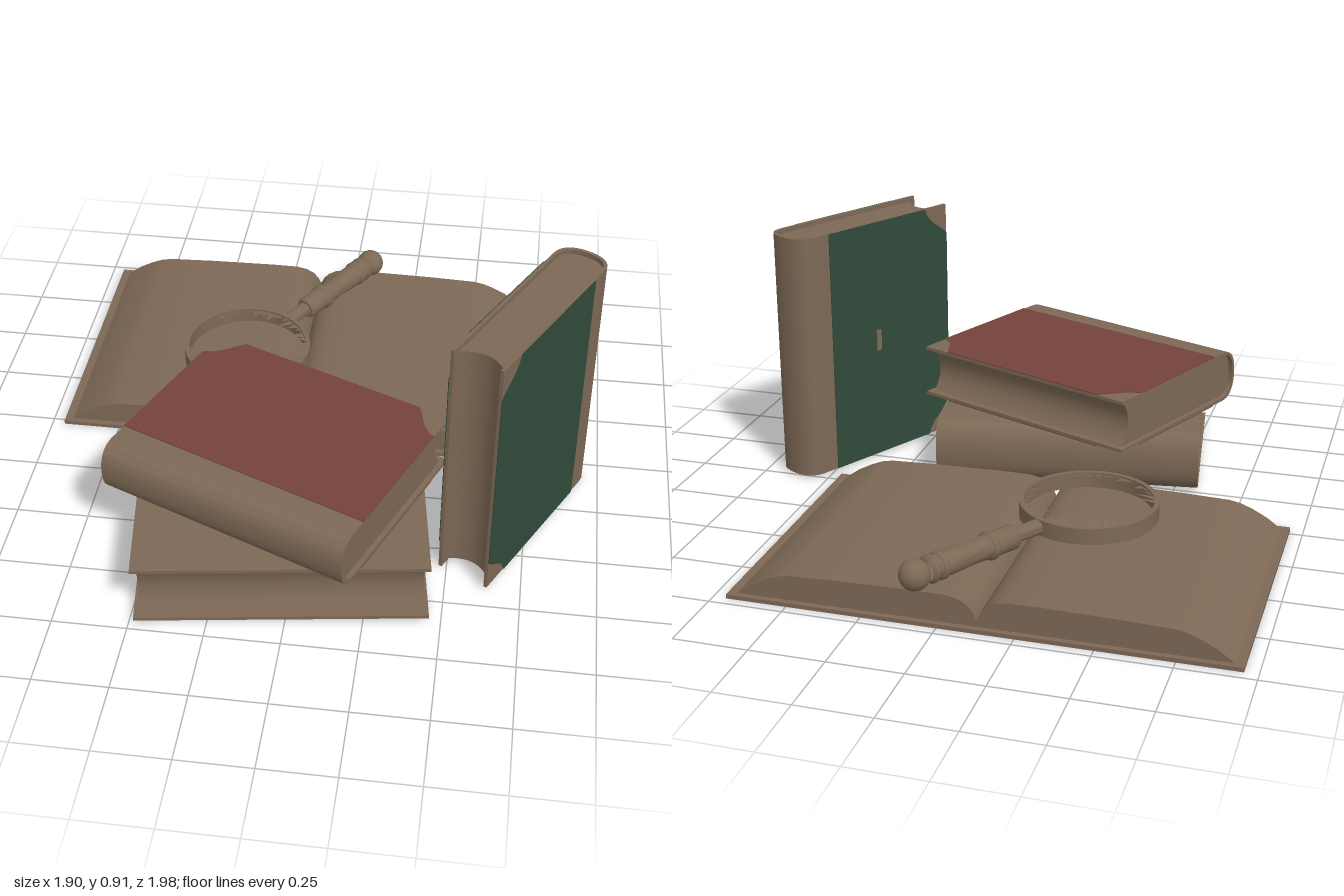
import * as THREE from 'three';
import { toCreasedNormals } from 'three/addons/utils/BufferGeometryUtils.js';

const brown = new THREE.MeshStandardMaterial({ color: 0x7d6855, side: THREE.DoubleSide });
brown.name = 'brown leather and paper';
const green = new THREE.MeshStandardMaterial({ color: 0x2f4b3a });
green.name = 'green cloth';
const red = new THREE.MeshStandardMaterial({ color: 0x75423c });
red.name = 'red cloth';

function add(parent, name, geometry, material, x = 0, y = 0, z = 0) {
  const mesh = new THREE.Mesh(geometry, material);
  mesh.name = name;
  mesh.position.set(x, y, z);
  parent.add(mesh);
  return mesh;
}

// Outline extruded along z and centred, with smooth curves and sharp edges
function slab(points, depth) {
  const shape = new THREE.Shape(points.map(([x, y]) => new THREE.Vector2(x, y)));
  const g = new THREE.ExtrudeGeometry(shape, { depth, bevelEnabled: false });
  g.translate(0, 0, -depth / 2);
  return toCreasedNormals(g, 0.6);
}

// Rounded spine curve from top to bottom
function spineCurve(x, halfT, d) {
  const pts = [];
  for (let i = 0; i <= 20; i++) {
    const a = Math.PI / 2 - (i / 20) * Math.PI;
    const s = Math.sin(a), c = Math.max(0, Math.cos(a));
    pts.push([x + d * c ** 0.85, halfT * Math.sign(s) * Math.abs(s) ** 0.85]);
  }
  return pts;
}

// Closed book: spine towards +x, thickness along y, length along z
function makeBook(name, W, T, L, cloth) {
  const book = new THREE.Group();
  book.name = name;
  const c = 0.012, d = 0.075, sx = W / 2 - d;
  const inner = spineCurve(sx, T / 2 - c, d - c);

  // Wrapped cover
  add(book, 'cover', slab([
    [-W / 2, T / 2], ...spineCurve(sx, T / 2, d), [-W / 2, -T / 2],
    [-W / 2, -T / 2 + c], ...[...inner].reverse(), [-W / 2, T / 2 - c],
  ], L), brown);

  // Page block with hollow fore edge
  const fore = [];
  for (let i = 0; i <= 10; i++) {
    const t = -1 + i / 5;
    fore.push([-W / 2 + 0.025 + 0.035 * (1 - t * t), t * (T / 2 - c)]);
  }
  add(book, 'pages', slab([...inner, ...fore], L - 0.034), brown);

  // Cloth panels that leave the spine strip and two corners bare
  if (cloth) {
    const h = L / 2, k = 0.11, e = W / 2 - 0.137;
    const s = new THREE.Shape();
    s.moveTo(e, -h);
    s.lineTo(e, h);
    s.lineTo(-W / 2 + k, h);
    s.bezierCurveTo(-W / 2 + 0.09, h - 0.06, -W / 2 + 0.04, h - 0.07, -W / 2, h - k);
    s.lineTo(-W / 2, -h + k);
    s.bezierCurveTo(-W / 2 + 0.04, -h + 0.07, -W / 2 + 0.09, -h + 0.06, -W / 2 + k, -h);
    const g = new THREE.ExtrudeGeometry(s, { depth: 0.003, bevelEnabled: false });
    g.rotateX(-Math.PI / 2);
    add(book, 'clothPanel', g, cloth, 0, T / 2, 0);
    add(book, 'clothPanel', g, cloth, 0, -T / 2 - 0.003, 0);
  }
  return book;
}

// Open book with a gutter between two swelling page stacks
function makeOpenBook() {
  const book = new THREE.Group();
  book.name = 'openBook';
  add(book, 'openCover', new THREE.BoxGeometry(1.66, 0.014, 0.99), brown, 0, 0.007, 0);
  const half = [
    [0, 0.035], [0.012, 0.062], [0.03, 0.084], [0.06, 0.101], [0.1, 0.109], [0.2, 0.11],
    [0.45, 0.106], [0.62, 0.1], [0.66, 0.092], [0.7, 0.076], [0.75, 0.05], [0.8, 0.014],
  ];
  const left = half.slice(1).reverse().map(([x, y]) => [-x, y]);
  add(book, 'openPages', slab([...left, ...half], 0.95), brown);
  return book;
}

// Magnifier with its handle along +x, and glass splinters left in the rim
function makeMagnifier() {
  const glass = new THREE.Group();
  glass.name = 'magnifier';
  const lathe = (pts, n) => toCreasedNormals(
    new THREE.LatheGeometry(pts.map(([r, y]) => new THREE.Vector2(r, y)), n), 0.6);

  add(glass, 'rim', lathe([
    [0.218, -0.028], [0.235, -0.028], [0.235, 0.028], [0.218, 0.028], [0.218, -0.028],
  ], 48), brown);

  const handle = lathe([
    [0, 0.225], [0.026, 0.225], [0.026, 0.335], [0.036, 0.335], [0.042, 0.345],
    [0.042, 0.43], [0.048, 0.437], [0.048, 0.45], [0.04, 0.458], [0.038, 0.52],
    [0.042, 0.6], [0.042, 0.635], [0.047, 0.642], [0.047, 0.655], [0.04, 0.662],
    [0.04, 0.672], [0.047, 0.68], [0.047, 0.69], [0.036, 0.7],
  ], 24);
  handle.rotateZ(-Math.PI / 2);
  add(glass, 'handle', handle, brown);
  add(glass, 'knob', new THREE.SphereGeometry(0.051, 24, 16), brown, 0.745, 0, 0);

  // Splinters stand in two arcs around the rim
  let seed = 7;
  const rnd = () => (seed = (seed * 16807) % 2147483647) / 2147483647;
  const splinters = [];
  for (let i = 0; i < 32; i++) {
    const deg = i < 18 ? -70 + i * 8 : 120 + (i - 18) * 8;
    const a = THREE.MathUtils.degToRad(deg), w = 0.04 + 0.05 * rnd();
    const tip = 0.2 - 0.05 * rnd(), b = a + 0.1 * (rnd() - 0.5);
    splinters.push(
      0.222 * Math.cos(a - w), 0.02, 0.222 * Math.sin(a - w),
      tip * Math.cos(b), 0.026 + 0.012 * rnd(), tip * Math.sin(b),
      0.222 * Math.cos(a + w), 0.02, 0.222 * Math.sin(a + w));
  }
  const g = new THREE.BufferGeometry();
  g.setAttribute('position', new THREE.Float32BufferAttribute(splinters, 3));
  g.computeVertexNormals();
  add(glass, 'glassSplinters', g, brown);
  return glass;
}

export function createModel() {
  const model = new THREE.Group();
  model.name = 'booksAndMagnifier';

  const openBook = makeOpenBook();
  openBook.position.set(-0.125, 0, -0.472);

  const magnifier = makeMagnifier();
  magnifier.position.set(-0.32, 0.16, -0.308);
  magnifier.rotation.y = Math.atan2(0.848, 0.53);

  // Stack of two closed books
  const lowerBook = makeBook('lowerBook', 0.773, 0.222, 0.955, null);
  lowerBook.position.set(-0.066, 0.123, 0.524);
  lowerBook.rotation.y = Math.atan2(0.99, -0.142);

  const redBook = makeBook('redBook', 0.717, 0.19, 0.907, red);
  redBook.position.set(-0.086, 0.337, 0.482);
  redBook.rotation.y = Math.atan2(-0.92, -0.39);

  // Standing book, spine to the back
  const greenBook = makeBook('greenBook', 0.715, 0.186, 0.905, green);
  greenBook.position.set(0.721, 0.4625, 0.314);
  greenBook.rotation.set(-Math.PI / 2, Math.atan2(0.887, 0.462), 0, 'YXZ');
  add(greenBook, 'coverMark', new THREE.BoxGeometry(0.022, 0.004, 0.08), brown, 0, 0.097, 0);

  model.add(openBook, magnifier, lowerBook, redBook, greenBook);
  return model;
}
